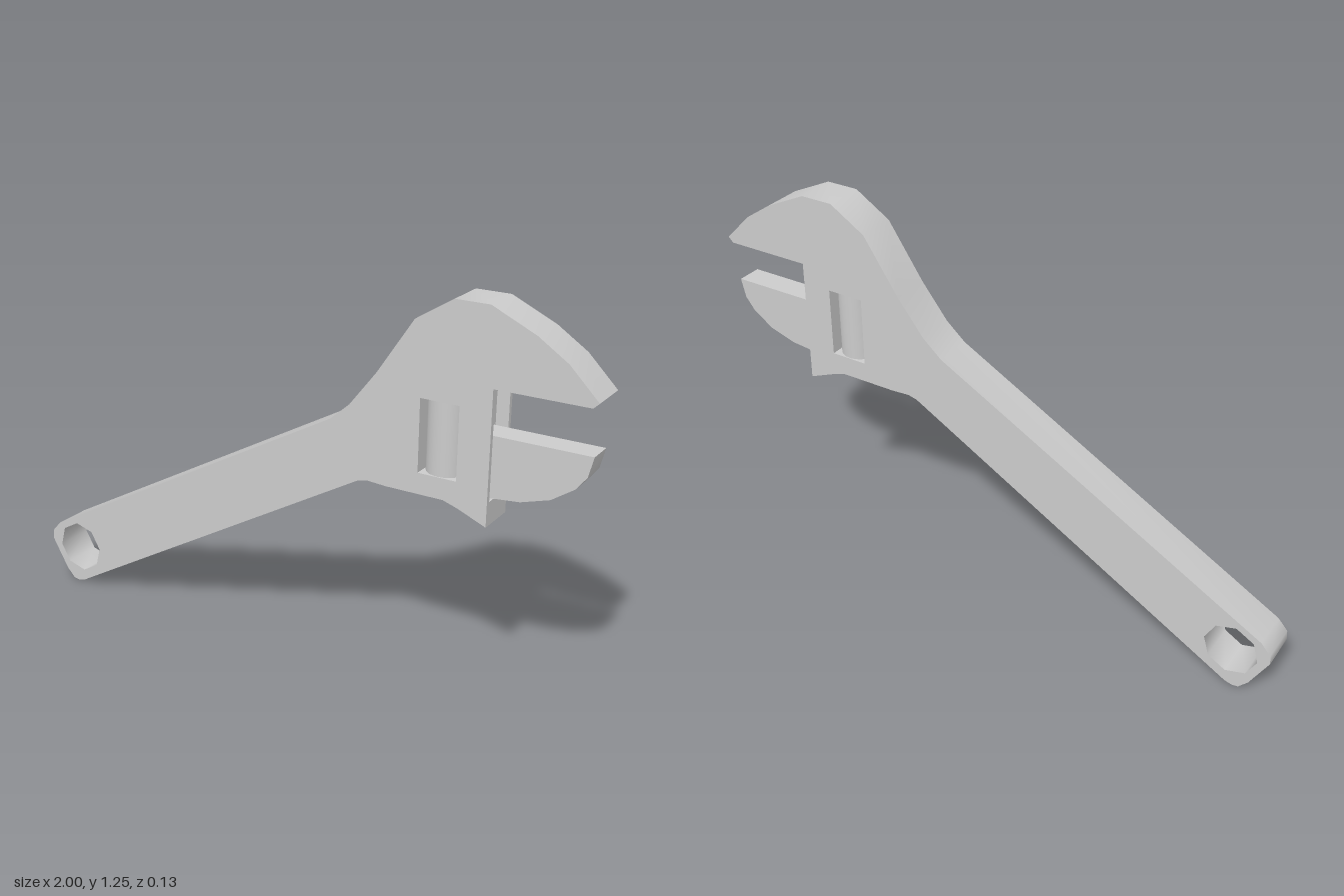
import * as THREE from 'three';
import { toCreasedNormals } from 'three/addons/utils/BufferGeometryUtils.js';

const HALF = 0.066;   // half thickness of the body
const FACE_X = 0.69;  // flat face that carries the jaw slot
const SLOT = { x: 0.65, y0: 0.675, y1: 1.005, z: 0.051 };

const points = (list) => list.map(([x, y]) => new THREE.Vector2(x, y));
const rect = (x0, y0, x1, y1) => points([[x0, y0], [x1, y0], [x1, y1], [x0, y1]]);

// Plate centred on z = 0, smooth along its curves and sharp at its rims
function plate(shape, half) {
  const geo = new THREE.ExtrudeGeometry(shape, { depth: half * 2, bevelEnabled: false });
  geo.translate(0, 0, -half);
  return toCreasedNormals(geo, 0.85);
}

// Removes the triangles lying wholly in the plane x = value
function dropFaceAtX(geo, value) {
  const pos = geo.attributes.position;
  const out = { position: [], normal: [] };
  for (let i = 0; i < pos.count; i += 3) {
    if ([0, 1, 2].every((k) => Math.abs(pos.getX(i + k) - value) < 1e-4)) continue;
    for (const name of ['position', 'normal']) {
      out[name].push(...geo.attributes[name].array.slice(i * 3, i * 3 + 9));
    }
  }
  const result = new THREE.BufferGeometry();
  for (const name of ['position', 'normal']) {
    result.setAttribute(name, new THREE.Float32BufferAttribute(out[name], 3));
  }
  return result;
}

export function createModel() {
  const group = new THREE.Group();
  const material = new THREE.MeshStandardMaterial({ color: 0xcccccc });
  const openMaterial = new THREE.MeshStandardMaterial({ color: 0xcccccc, side: THREE.DoubleSide });
  const add = (name, geometry, mat = material) => {
    const mesh = new THREE.Mesh(geometry, mat);
    mesh.name = name;
    group.add(mesh);
    return mesh;
  };

  // Handle, head and fixed jaw in one outline
  const body = new THREE.Shape(points([
    [-0.91, 0.003], [-0.89, 0], [-0.865, 0.006], [0.24, 0.636], [0.265, 0.65], [0.295, 0.657],
    [0.36, 0.653], [0.55, 0.653], [0.6, 0.637], [FACE_X, 0.6],
    [FACE_X, 1.018], [0.98, 1.018], [0.997, 1.035], [0.905, 1.127], [0.81, 1.19],
    [0.67, 1.255], [0.56, 1.255], [0.44, 1.18], [0.32, 1.0], [0.23, 0.885], [0.165, 0.828],
    [-0.965, 0.206], [-0.997, 0.17], [-1, 0.14], [-0.94, 0.035],
  ]));

  // Eight-sided hanging hole and the window for the worm screw
  const hole = [];
  for (let i = 0; i < 8; i++) {
    const a = THREE.MathUtils.degToRad(7 + i * 45);
    hole.push(new THREE.Vector2(-0.872 + 0.089 * Math.cos(a), 0.136 + 0.089 * Math.sin(a)));
  }
  body.holes.push(new THREE.Path(hole), new THREE.Path(rect(0.465, 0.72, 0.59, 0.95)));
  add('body', dropFaceAtX(plate(body, HALF), FACE_X));

  // Flat face around the slot opening
  const face = new THREE.Shape(rect(-HALF, 0.6, HALF, 1.018));
  face.holes.push(new THREE.Path(rect(-SLOT.z, SLOT.y0, SLOT.z, SLOT.y1)));
  const faceGeo = new THREE.ShapeGeometry(face);
  faceGeo.rotateY(Math.PI / 2);
  faceGeo.translate(FACE_X, 0, 0);
  add('slotFace', faceGeo);

  // Slot walls and floor: a box left open toward +x
  const slotGeo = new THREE.BoxGeometry(FACE_X - SLOT.x, SLOT.y1 - SLOT.y0, SLOT.z * 2);
  slotGeo.setIndex(Array.from(slotGeo.index.array).slice(6));
  slotGeo.clearGroups();
  slotGeo.translate((FACE_X + SLOT.x) / 2, (SLOT.y0 + SLOT.y1) / 2, 0);
  add('jawSlot', slotGeo, openMaterial);

  // Sliding lower jaw, seated in the slot
  const jaw = new THREE.Shape(points([
    [SLOT.x, 0.873], [SLOT.x, 0.68], [FACE_X, 0.683], [0.78, 0.692], [0.87, 0.72],
    [0.94, 0.768], [0.972, 0.81], [0.987, 0.873],
  ]));
  add('slidingJaw', plate(jaw, 0.042));

  // Worm screw standing in the window
  const worm = add('wormScrew', new THREE.CylinderGeometry(0.0625, 0.0625, 0.23, 24));
  worm.position.set(0.5275, 0.835, 0);

  return group;
}
